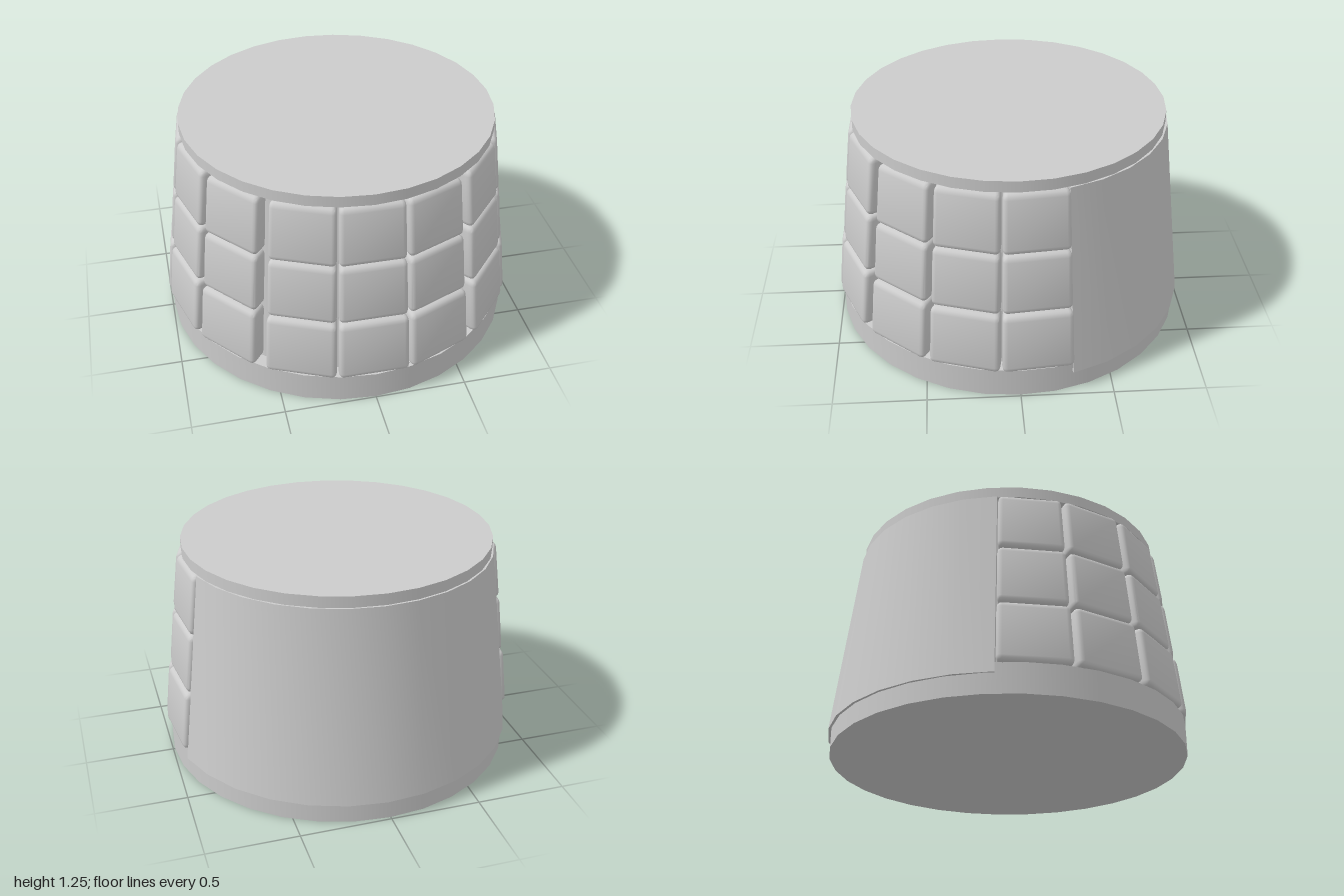
import * as THREE from 'three';
import { toCreasedNormals } from 'three/addons/utils/BufferGeometryUtils.js';
import { RoundedBoxGeometry } from 'three/addons/geometries/RoundedBoxGeometry.js';

const rad = THREE.MathUtils.degToRad;
const grey = new THREE.MeshStandardMaterial({ color: 0xcccccc });
const greyDouble = new THREE.MeshStandardMaterial({ color: 0xcccccc, side: THREE.DoubleSide });

// Upright disc or cone between two heights
function disc(name, rTop, rBottom, y0, y1, z = 0.005) {
  const mesh = new THREE.Mesh(new THREE.CylinderGeometry(rTop, rBottom, y1 - y0, 32), grey);
  mesh.name = name;
  mesh.position.set(0, (y0 + y1) / 2, z);
  return mesh;
}

// Soft-edged block whose outer face leans from rBottom to rTop and whose sides point at the axis
function blockGeometry(y0, y1, rBottom, rTop) {
  const depth = 0.16, h = y1 - y0;
  const geo = new RoundedBoxGeometry(0.398, h, depth, 2, 0.033);
  const p = geo.attributes.position;
  for (let i = 0; i < p.count; i++) {
    const t = p.getY(i) / h + 0.5;
    const r = THREE.MathUtils.lerp(rBottom, rTop, t) + p.getZ(i) - depth / 2;
    p.setXYZ(i, p.getX(i) * r, p.getY(i) + (y0 + y1) / 2, r);
  }
  return toCreasedNormals(geo, 0.7);
}

export function createModel() {
  const group = new THREE.Group();
  group.add(
    disc('baseDisc', 0.99, 0.99, 0, 0.165),
    disc('core', 0.81, 0.92, 0.16, 1.2, 0),
    disc('topDisc', 0.865, 0.865, 1.188, 1.25),
  );

  // Three rows of blocks wrapped round the front
  const columns = [-97.5, -74, -49.5, -23.5, -0.5, 22.5, 48.5, 72.5, 95.5];
  const rows = [
    [0.163, 0.507, 1.0, 0.963],
    [0.51, 0.849, 0.955, 0.918],
    [0.85, 1.188, 0.916, 0.876],
  ];
  const blocks = new THREE.Group();
  blocks.name = 'blocks';
  for (const row of rows) {
    const geo = blockGeometry(...row);
    for (const angle of columns) {
      const block = new THREE.Mesh(geo, grey);
      block.name = 'block';
      block.rotation.y = rad(angle);
      blocks.add(block);
    }
  }
  group.add(blocks);

  // Smooth tapered plate covering the back, with closed ends
  const plate = new THREE.Group();
  plate.name = 'backPlate';
  const start = rad(106.5), sweep = rad(144.5);
  const profile = [[0.85, 0.11], [1.0, 0.11], [0.872, 1.188], [0.78, 1.188], [0.85, 0.11]]
    .map(([x, y]) => new THREE.Vector2(x, y));
  const shell = new THREE.Mesh(
    toCreasedNormals(new THREE.LatheGeometry(profile, 12, start, sweep), 0.6), greyDouble);
  shell.name = 'backPlateShell';
  plate.add(shell);
  const endGeo = new THREE.ShapeGeometry(new THREE.Shape(profile.slice(0, 4)));
  for (const phi of [start, start + sweep]) {
    const end = new THREE.Mesh(endGeo, greyDouble);
    end.name = 'backPlateEnd';
    end.rotation.y = phi - Math.PI / 2;
    plate.add(end);
  }
  group.add(plate);
  return group;
}
